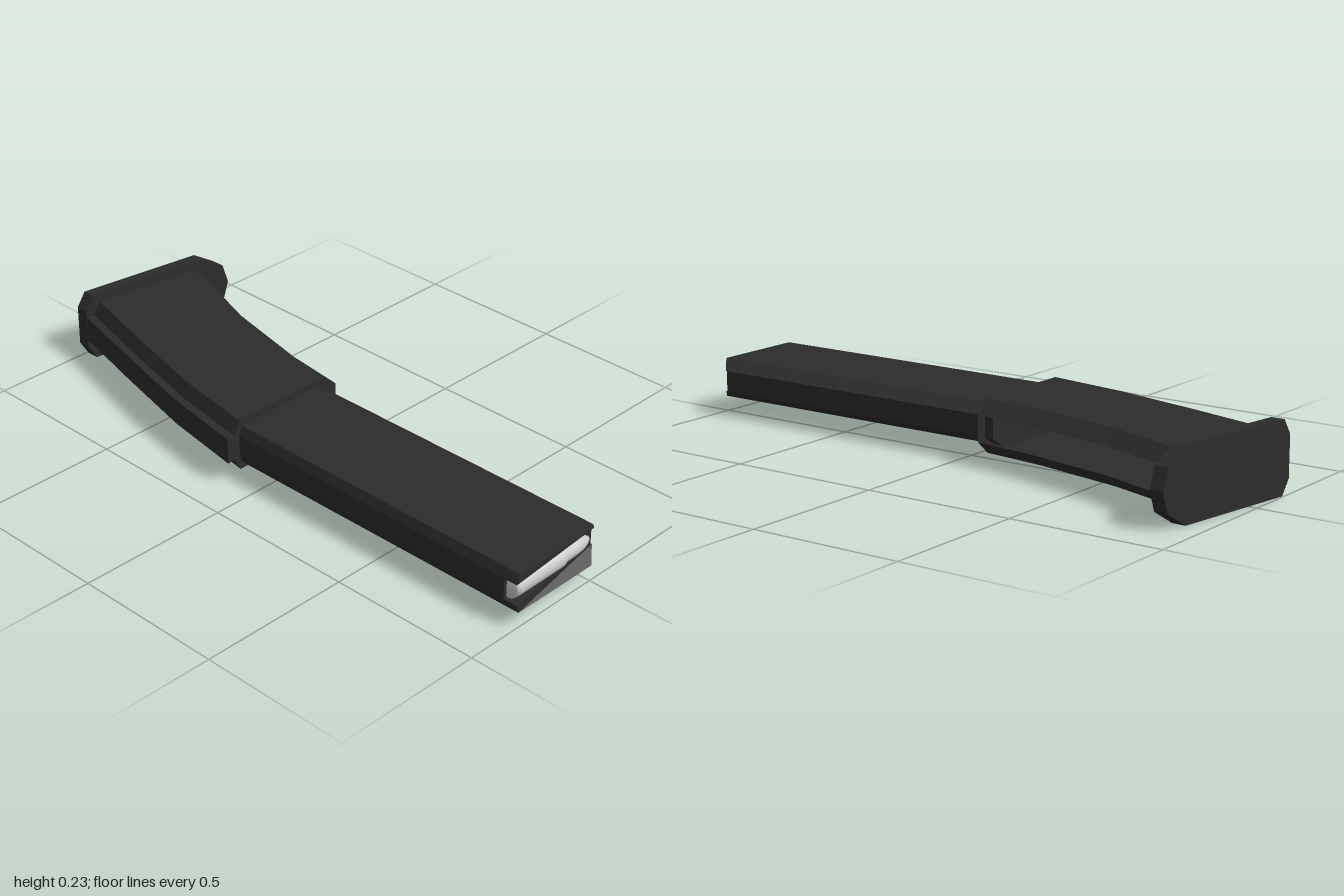
import * as THREE from 'three';

const polymer = new THREE.MeshStandardMaterial({ color: 0x2c2c2c });
polymer.name = 'dark grey';
const shellDark = polymer.clone();
shellDark.name = 'dark grey shell';
shellDark.side = THREE.DoubleSide;
const metal = new THREE.MeshStandardMaterial({ color: 0xc8c8c8 });
metal.name = 'light metal';

const MID = 0.114; // height of the symmetry plane
const FRONT = -0.09; // front of the lower shell

const toShape = pts => new THREE.Shape(pts.map(p => new THREE.Vector2(p[0], p[1])));

// Straight prism along z
function prism(pts, z0, z1) {
  const g = new THREE.ExtrudeGeometry(toShape(pts), { depth: z1 - z0, bevelEnabled: false });
  g.translate(0, 0, z0);
  return g;
}

// Moves every vertex by a rule and refreshes the flat normals
function warp(g, rule) {
  const p = g.attributes.position, v = new THREE.Vector3();
  for (let i = 0; i < p.count; i++) {
    rule(v.fromBufferAttribute(p, i));
    p.setXYZ(i, v.x, v.y, v.z);
  }
  g.computeVertexNormals();
  return g;
}

// Curved shell: one cross-section carried through tilted stations, open along its outer side
function sweptShell(profile, left, right, openSegment) {
  const u0 = -0.37, width = 0.458;
  const rings = left.map((l, s) => profile.map(([u, y]) => {
    const t = (u - u0) / width;
    return [l[0] + (right[s][0] - l[0]) * t, y, l[1] + (right[s][1] - l[1]) * t];
  }));
  const pos = [];
  for (let s = 0; s < rings.length - 1; s++) {
    for (let i = 0; i < profile.length; i++) {
      if (i === openSegment) continue;
      const k = (i + 1) % profile.length;
      const a = rings[s][i], b = rings[s][k], c = rings[s + 1][k], d = rings[s + 1][i];
      pos.push(...a, ...b, ...d, ...b, ...c, ...d);
    }
  }
  const g = new THREE.BufferGeometry();
  g.setAttribute('position', new THREE.Float32BufferAttribute(pos, 3));
  g.computeVertexNormals();
  return g;
}

export function createModel() {
  const model = new THREE.Group();
  const add = (name, geometry, material) => {
    const mesh = new THREE.Mesh(geometry, material);
    mesh.name = name;
    model.add(mesh);
    return mesh;
  };

  // Straight upper body
  add('upperBody', prism([
    [-0.322, 0.08], [-0.31, 0.05], [0.005, 0.05], [0.053, 0.08],
    [0.053, 0.148], [0.005, 0.178], [-0.31, 0.178], [-0.322, 0.148],
  ], FRONT - 0.03, 0.955), polymer);

  // Two feed lips with a cut-back outer corner
  for (const side of [1, -1]) {
    const pts = [[-0.322, 0.034], [0.053, 0.034], [0.005, 0.064], [-0.31, 0.064]]
      .map(([x, y]) => [x, MID + side * y]);
    const lip = warp(prism(pts, 0.95, 1), v => {
      if (v.z > 0.99 && v.x > 0.04) v.z = 0.96;
    });
    add(side > 0 ? 'upperLip' : 'lowerLip', lip, polymer);
  }

  // Curved lower shell with a spine rib and an open slot on the other edge
  const profile = [
    [-0.37, 0.072], [-0.37, 0.157], [-0.343, 0.157], [-0.32, 0.2], [0.04, 0.2],
    [0.088, 0.157], [0.088, 0.072], [0.04, 0.03], [-0.32, 0.03], [-0.343, 0.072],
  ];
  const left = [[-0.37, FRONT], [-0.325, -0.37], [-0.25, -0.68], [-0.175, -0.97]];
  const right = [[0.088, FRONT], [0.113, -0.3], [0.18, -0.61], [0.28, -0.9]];
  add('lowerShell', sweptShell(profile, left, right, 5), shellDark);
  const collar = new THREE.ShapeGeometry(toShape(profile));
  collar.translate(0, 0, FRONT);
  add('shellFront', collar, shellDark);

  // Slanted floor plate, pointed on its overhanging side
  const plate = prism([
    [-0.152, 0], [0.27, 0], [0.347, 0.048], [0.367, 0.114], [0.347, 0.18],
    [0.27, 0.228], [-0.152, 0.228], [-0.18, 0.18], [-0.18, 0.048],
  ], -1, -0.957);
  add('floorPlate', warp(plate, v => { v.z += (v.x + 0.18) * 0.155; }), polymer);

  // Top cartridge: turned profile laid along x
  const turned = [
    [0, -0.311], [0.031, -0.311], [0.032, -0.303], [0.028, -0.301], [0.028, -0.297],
    [0.033, -0.293], [0.032, -0.105], [0.026, -0.085], [0.025, -0.04], [0.022, -0.01],
    [0.016, 0.012], [0.008, 0.028], [0, 0.032],
  ].map(p => new THREE.Vector2(p[0], p[1]));
  const cartridge = add('cartridge', new THREE.LatheGeometry(turned, 24), metal);
  cartridge.rotation.z = -Math.PI / 2;
  cartridge.position.set(0, MID, 0.962);

  return model;
}
